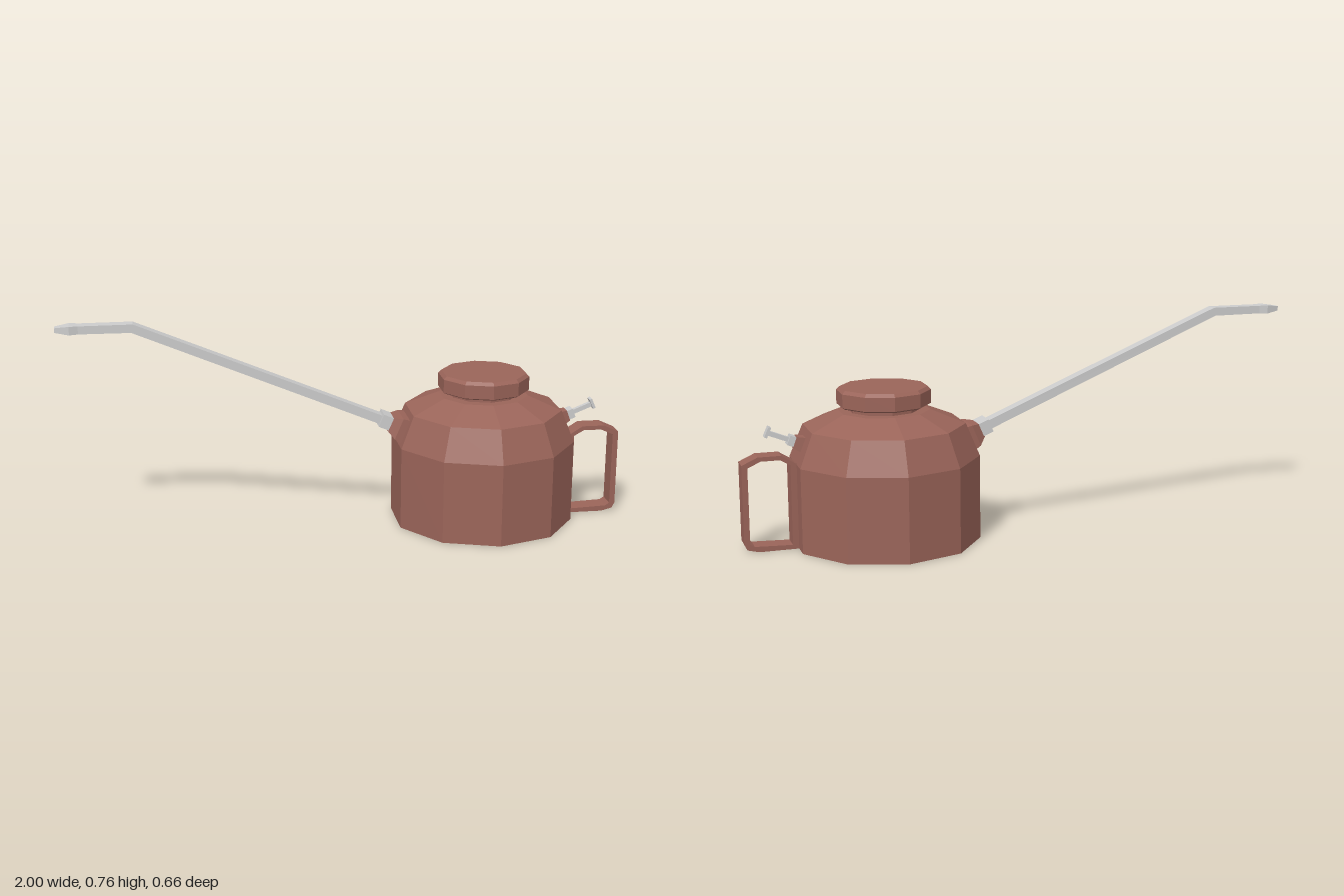
import * as THREE from 'three';

const red = new THREE.MeshStandardMaterial({ color: 0x9a6459, flatShading: true });
const grey = new THREE.MeshStandardMaterial({ color: 0xcccccc, flatShading: true });

function add(parent, name, geometry, material) {
  const mesh = new THREE.Mesh(geometry, material);
  mesh.name = name;
  parent.add(mesh);
  return mesh;
}

// Four-sided bar swept in the xy plane; stations are [x, y, halfHeight, halfWidth]
function bar(stations) {
  const corners = [[1, -1], [1, 1], [-1, 1], [-1, -1]];
  const last = stations.length - 1;
  const dir = (i) => new THREE.Vector2(
    stations[i + 1][0] - stations[i][0], stations[i + 1][1] - stations[i][1]).normalize();
  const rings = stations.map(([x, y, h, w], i) => {
    const t = dir(Math.min(i, last - 1)).add(dir(Math.max(i - 1, 0))).normalize();
    return corners.map(([n, z]) => [x - t.y * h * n, y + t.x * h * n, w * z]);
  });
  const pos = [];
  const quad = (a, b, c, d) => [a, b, c, a, c, d].forEach((p) => pos.push(...p));
  for (let i = 0; i < last; i++) {
    for (let k = 0; k < 4; k++) {
      const j = (k + 1) % 4;
      quad(rings[i][k], rings[i][j], rings[i + 1][j], rings[i + 1][k]);
    }
  }
  const [s, e] = [rings[0], rings[last]];
  quad(s[3], s[2], s[1], s[0]);
  quad(e[0], e[1], e[2], e[3]);
  const g = new THREE.BufferGeometry();
  g.setAttribute('position', new THREE.Float32BufferAttribute(pos, 3));
  g.computeVertexNormals();
  return g;
}

// Ten-sided turned part around the can's axis
function turned(profile) {
  const g = new THREE.LatheGeometry(profile.map(([r, y]) => new THREE.Vector2(r, y)), 10);
  return g.translate(0.5, 0, 0);
}

export function createModel() {
  const can = new THREE.Group();
  can.name = 'oilCan';

  // Tank with sloping shoulders and neck
  add(can, 'tank', turned([[0, 0], [0.33, 0], [0.33, 0.295], [0.282, 0.41], [0.16, 0.46],
    [0.123, 0.46], [0.123, 0.48], [0, 0.48]]), red);

  // Screw cap
  add(can, 'cap', turned([[0, 0.476], [0.152, 0.476], [0.163, 0.482], [0.163, 0.53],
    [0.152, 0.541], [0, 0.541]]), red);

  // Handle loop
  const outline = [[0.805, 0], [0.95, 0], [0.99, 0.01], [1, 0.03], [1, 0.305], [0.945, 0.33],
    [0.865, 0.33], [0.82, 0.302], [0.805, 0.295]];
  const opening = [[0.835, 0.015], [0.835, 0.295], [0.87, 0.315], [0.935, 0.315],
    [0.98, 0.295], [0.98, 0.03], [0.965, 0.02]];
  const toVec = ([x, y]) => new THREE.Vector2(x, y);
  const loop = new THREE.Shape(outline.map(toVec));
  loop.holes.push(new THREE.Path(opening.map(toVec)));
  add(can, 'handle', new THREE.ExtrudeGeometry(loop, { depth: 0.068, bevelEnabled: false })
    .translate(0, 0, -0.034), red);

  // Spout: socket, nut and bent tube with a swollen tip
  const spout = new THREE.Group();
  spout.name = 'spout';
  can.add(spout);
  add(spout, 'spoutSocket', bar([[0.26, 0.325, 0.055, 0.07], [0.185, 0.356, 0.04, 0.06],
    [0.155, 0.369, 0.024, 0.034]]), red);
  add(spout, 'spoutNut', bar([[0.165, 0.367, 0.024, 0.038], [0.125, 0.384, 0.024, 0.038]]), grey);
  add(spout, 'spoutTube', bar([[0.14, 0.377, 0.016, 0.023], [-0.738, 0.745, 0.015, 0.023],
    [-0.92, 0.745, 0.014, 0.023], [-0.95, 0.745, 0.015, 0.03], [-1, 0.745, 0.008, 0.014]]), grey);

  // Thumb plunger opposite the spout
  const plunger = new THREE.Group();
  plunger.name = 'plunger';
  can.add(plunger);
  add(plunger, 'plungerSocket', bar([[0.75, 0.345, 0.035, 0.032],
    [0.815, 0.369, 0.02, 0.02]]), red);
  add(plunger, 'plungerNut', bar([[0.805, 0.366, 0.017, 0.02], [0.835, 0.378, 0.017, 0.02]]), grey);
  add(plunger, 'plungerRod', bar([[0.83, 0.376, 0.008, 0.008], [0.905, 0.406, 0.008, 0.008]]), grey);
  add(plunger, 'plungerButton', bar([[0.9, 0.406, 0.019, 0.015], [0.909, 0.41, 0.019, 0.015]]), grey);

  return can;
}
